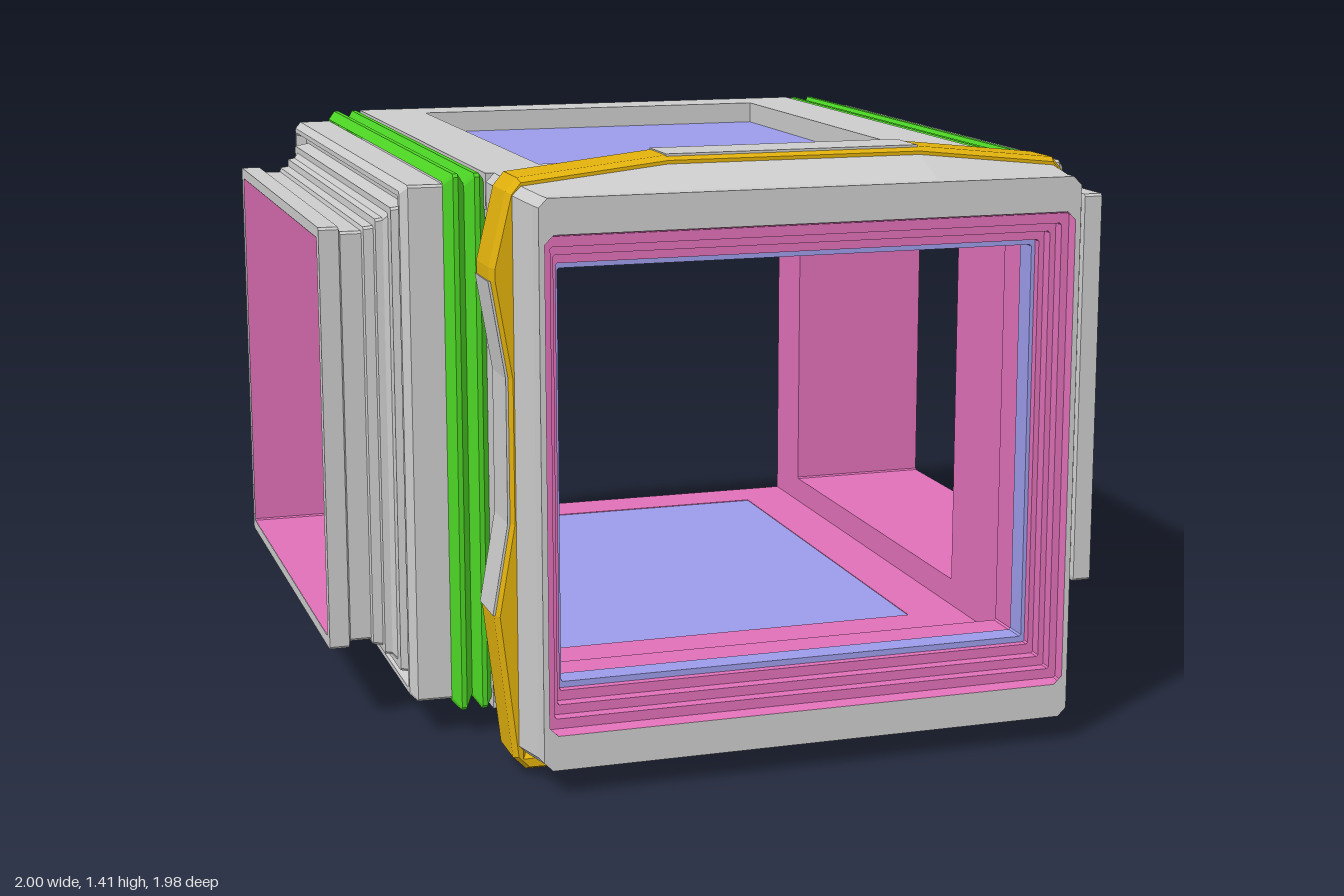
import * as THREE from 'three';

const CY = 0.71;      // height of every opening's centre
const ARM_Z = -0.23;  // centre of the side arms along z

const paint = (color) => new THREE.MeshStandardMaterial({ color, flatShading: true, side: THREE.DoubleSide });

export function createModel() {
  const root = new THREE.Group();
  const grey = paint(0xcccccc), pink = paint(0xe070b8), gold = paint(0xe0b00c);
  const green = paint(0x4cd424), blue = paint(0x9c9cea), red = paint(0xe01010);

  const add = (name, geometry, material, parent = root) => {
    const mesh = new THREE.Mesh(geometry, material);
    mesh.name = name;
    parent.add(mesh);
    return mesh;
  };

  // Chamfered rectangles [t, halfWidth, halfHeight, crown] joined along an axis
  const sweep = (profile, c, place) => {
    const rings = profile.map(([t, w, h, crown = 0]) => [
      [w, h - c], [w - c, h], [0.3, h + crown], [-0.3, h + crown], [c - w, h], [-w, h - c],
      [-w, c - h], [c - w, -h], [-0.3, -h - crown], [0.3, -h - crown], [w - c, -h], [w, c - h],
    ].map(([u, v]) => place(t, u, v)));
    const pos = [];
    for (let i = 0; i < rings.length - 1; i++) {
      for (let j = 0; j < 12; j++) {
        const k = (j + 1) % 12;
        const a = rings[i][j], b = rings[i][k], d = rings[i + 1][k], e = rings[i + 1][j];
        pos.push(...a, ...b, ...d, ...a, ...d, ...e);
      }
    }
    const g = new THREE.BufferGeometry();
    g.setAttribute('position', new THREE.Float32BufferAttribute(pos, 3));
    g.computeVertexNormals();
    return g;
  };
  const alongZ = (t, u, v) => [u, CY + v, t];
  const alongX = (side) => (t, u, v) => [side * t, CY + v, ARM_Z + u];

  const polygon = (points) => new THREE.Shape(points.map(([x, y]) => new THREE.Vector2(x, y)));
  const rect = (x0, x1, y0, y1) => polygon([[x0, y0], [x1, y0], [x1, y1], [x0, y1]]);

  // Horizontal slab with a window hole, bottom at y
  const slab = (z0, z1, y, thickness, halfX) => {
    const s = rect(-halfX, halfX, -z1, -z0);
    s.holes.push(rect(-0.48, 0.48, -0.395, 0.855));
    return new THREE.ExtrudeGeometry(s, { depth: thickness, bevelEnabled: false })
      .rotateX(-Math.PI / 2).translate(0, y, 0);
  };

  // Roof and floor with recessed windows and coloured lining
  add('roof', slab(-0.99, 0.53, 1.265, 0.085, 0.64), grey);
  add('ceilingLining', slab(-0.985, 0.53, 1.259, 0.006, 0.622), pink);
  add('floor', slab(-0.99, 0.53, 0.07, 0.085, 0.64), grey);
  add('floorLining', slab(-0.985, 0.53, 0.155, 0.006, 0.622), pink);
  for (const [name, y] of [['roofWindow', 1.278], ['floorWindow', 0.142]]) {
    add(name, new THREE.BoxGeometry(0.96, 0.034, 1.25).translate(0, y, -0.23), blue);
  }

  // Front collar: crowned shell outside, stepped lining inside
  add('frontShell', sweep([
    [0.51, 0.638, 0.64], [0.57, 0.64, 0.64], [0.68, 0.655, 0.648, 0.036], [0.84, 0.655, 0.648, 0.036],
    [0.95, 0.638, 0.64], [0.99, 0.635, 0.64], [0.99, 0.622, 0.56],
  ], 0.02, alongZ), grey);
  add('frontLining', sweep([
    [0.99, 0.622, 0.56], [0.96, 0.62, 0.553], [0.96, 0.602, 0.53], [0.93, 0.602, 0.53],
    [0.93, 0.588, 0.508], [0.9, 0.588, 0.508], [0.9, 0.575, 0.485], [0.88, 0.575, 0.485],
  ], 0.004, alongZ), pink);
  add('frontRim', sweep([
    [0.88, 0.578, 0.488], [0.88, 0.566, 0.471], [0.82, 0.566, 0.471], [0.82, 0.58, 0.48],
  ], 0.004, alongZ), blue);
  add('vestibuleLining', sweep([
    [0.82, 0.573, 0.477], [0.72, 0.573, 0.477], [0.72, 0.62, 0.551], [0.51, 0.62, 0.551],
  ], 0.004, alongZ), pink);

  // Gold band around the collar, listed counterclockwise from the bottom
  const half = [[0.3, 0.012], [0.635, 0.02], [0.665, 0.05], [0.705, 0.39], [0.668, 0.6], [0.668, 0.93],
    [0.705, 1.15], [0.705, 1.18], [0.665, 1.345], [0.64, 1.375], [0.3, 1.412]];
  const mirrored = half.map(([x, y]) => [-x, y]).reverse();
  const bandShape = polygon([...half, ...mirrored]);
  bandShape.holes.push(rect(-0.635, 0.635, 0.06, 1.34));
  add('collarBand', new THREE.ExtrudeGeometry(bandShape, {
    depth: 0.115, bevelThickness: 0.02, bevelSize: 0.01, bevelOffset: -0.01, bevelSegments: 1,
  }).translate(0, 0, 0.705), gold);

  // Grey pads set into the band
  const pad = (name, points) => add(name, new THREE.ExtrudeGeometry(polygon(points),
    { depth: 0.125, bevelEnabled: false }).translate(0, 0, 0.7), grey);
  pad('topPad', [[-0.3, 1.38], [0.3, 1.38], [0.3, 1.415], [-0.3, 1.415]]);
  for (const s of [-1, 1]) {
    pad('sidePad', [[0.65, 0.39], [0.708, 0.39], [0.671, 0.6], [0.671, 0.93], [0.708, 1.15], [0.65, 1.15]]
      .map(([x, y]) => [s * x, y]));
    pad('bottomPad', [[0.22, 0.008], [0.4, 0.008], [0.4, 0.04], [0.22, 0.04]].map(([x, y]) => [s * x, y]));
  }

  // Side arms, mirrored
  for (const s of [-1, 1]) {
    const arm = new THREE.Group();
    arm.name = s > 0 ? 'leftArm' : 'rightArm';
    root.add(arm);

    // Seal with two broad ribs
    add('ribbedSeal', sweep([
      [0.622, 0.6, 0.5], [0.622, 0.755, 0.638], [0.636, 0.735, 0.62], [0.653, 0.757, 0.64], [0.665, 0.757, 0.64],
      [0.684, 0.73, 0.615], [0.703, 0.757, 0.64], [0.715, 0.757, 0.64], [0.735, 0.735, 0.62],
    ], 0.008, alongX(s)), green, arm);

    // Stepped flange and outer sleeve
    add('flange', sweep([
      [0.733, 0.735, 0.615], [0.815, 0.732, 0.615], [0.832, 0.715, 0.6], [0.832, 0.7, 0.588],
      [0.805, 0.695, 0.582], [0.805, 0.672, 0.562], [0.842, 0.665, 0.556], [0.842, 0.63, 0.54],
      [0.853, 0.622, 0.528], [0.87, 0.62, 0.525], [0.872, 0.605, 0.508], [0.895, 0.602, 0.505],
      [0.898, 0.592, 0.495], [0.948, 0.592, 0.495], [0.953, 0.602, 0.508],
      [1, 0.602, 0.508], [1, 0.573, 0.482],
    ], 0.006, alongX(s)), grey, arm);

    // Inner wall with sill, and passage lining
    add('passageLining', sweep([
      [1, 0.573, 0.481], [0.62, 0.573, 0.481], [0.62, 0.755, 0.6],
    ], 0.004, alongX(s)), pink, arm);

    // One lamp per arm, on opposite jambs
    const lamp = new THREE.Group();
    lamp.name = 'lamp';
    lamp.position.set(s * 0.76, 0.975, ARM_Z - s * 0.573);
    add('lampBase', new THREE.CylinderGeometry(0.028, 0.028, 0.045, 16)
      .rotateX(Math.PI / 2).translate(0, 0, s * 0.022), red, lamp);
    add('lampCollar', new THREE.CylinderGeometry(0.035, 0.035, 0.012, 16)
      .rotateX(Math.PI / 2).translate(0, 0, s * 0.04), red, lamp);
    add('lampBulb', new THREE.SphereGeometry(0.028, 16, 10).translate(0, 0, s * 0.051), blue, lamp);
    arm.add(lamp);
  }
  return root;
}
